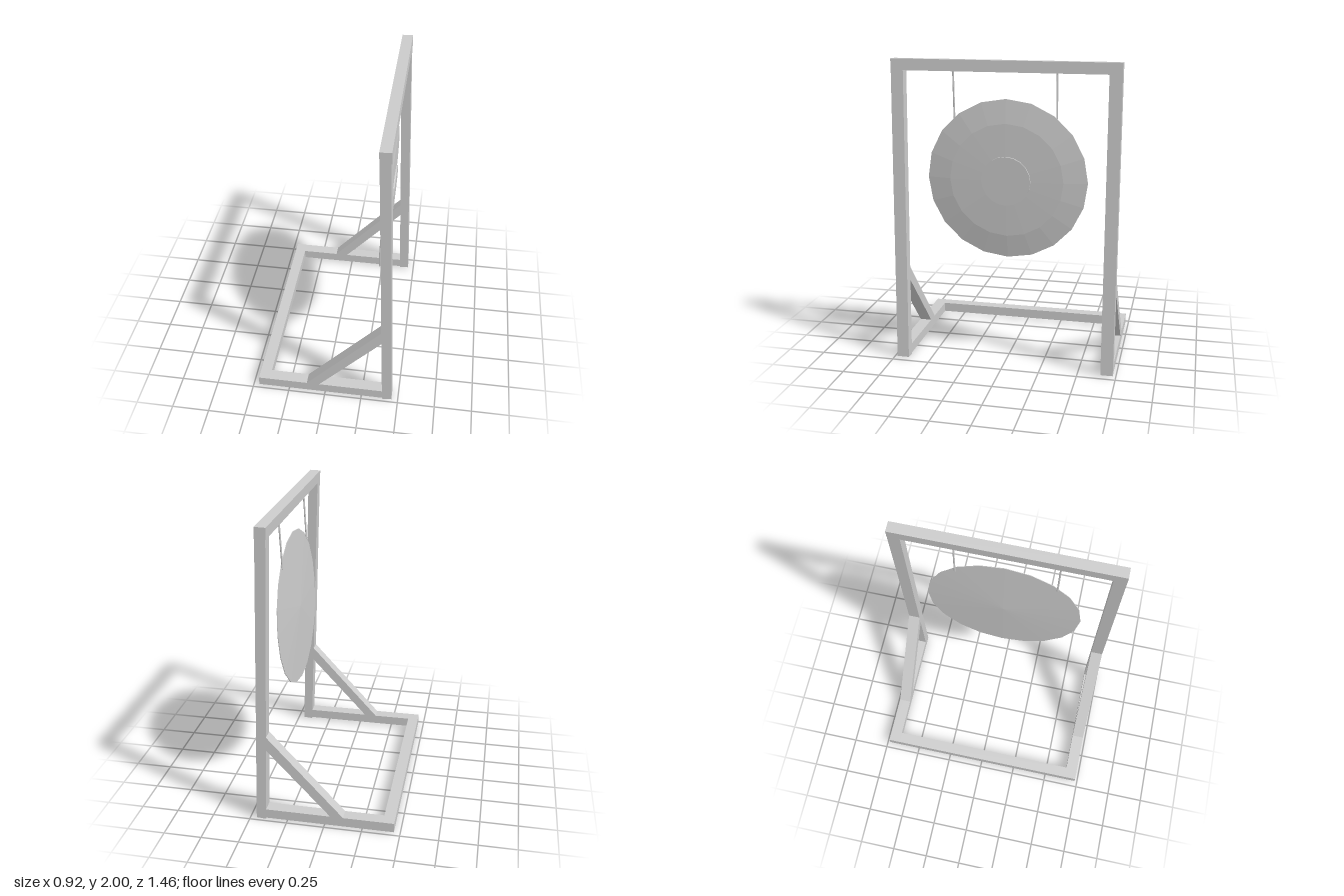
import * as THREE from 'three';

const material = new THREE.MeshStandardMaterial({ color: 0xcccccc, flatShading: true });

const INNER = 0.65, OUTER = 0.73; // z extent of the side timbers

// Timber with a side profile in x/y, running from z0 to z1
function timber(name, corners, z0, z1) {
  const shape = new THREE.Shape(corners.map(([x, y]) => new THREE.Vector2(x, y)));
  const geometry = new THREE.ExtrudeGeometry(shape, { depth: z1 - z0, bevelEnabled: false });
  geometry.translate(0, 0, z0);
  const mesh = new THREE.Mesh(geometry, material);
  mesh.name = name;
  return mesh;
}

export function createModel() {
  const group = new THREE.Group();
  group.name = 'gongStand';

  // Side frames: leaning post, floor rail and diagonal brace
  const post = [[0.393, 0], [0.457, 0.005], [0.388, 1.93], [0.322, 1.93]];
  const rail = [[-0.46, 0.01], [0.4, 0.01], [0.4, 0.075], [-0.46, 0.075]];
  const brace = [[-0.13, 0.07], [-0.045, 0.07], [0.376, 0.53], [0.372, 0.625]];
  for (const [side, z0, z1] of [['left', INNER, OUTER], ['right', -OUTER, -INNER]]) {
    const frame = new THREE.Group();
    frame.name = side + 'SideFrame';
    frame.add(
      timber('post', post, z0, z1),
      timber('floorRail', rail, z0, z1),
      timber('brace', brace, z0, z1)
    );
    group.add(frame);
  }

  // Cross timbers joining the two sides
  group.add(timber('topBeam', [[0.321, 1.925], [0.392, 1.928], [0.389, 2], [0.318, 1.998]], -OUTER, OUTER));
  group.add(timber('floorCrossbar', [[-0.46, 0.01], [-0.385, 0.01], [-0.385, 0.075], [-0.46, 0.075]], -INNER, INNER));

  // Gong: shallow disc with a domed face and a raised centre boss
  const profile = [
    [0, -0.021], [0.522, -0.002], [0.522, 0.002], [0.37, 0.024],
    [0.16, 0.031], [0.16, 0.041], [0, 0.041]
  ].map(([r, h]) => new THREE.Vector2(r, h));
  const gong = new THREE.Mesh(new THREE.LatheGeometry(profile, 20), material);
  gong.name = 'gong';
  gong.rotation.z = -Math.PI / 2 - 0.04;
  gong.position.set(0.326, 1.238, -0.005);
  group.add(gong);

  // Hanging cords from the beam to the gong
  for (const [name, z] of [['leftCord', 0.333], ['rightCord', -0.328]]) {
    const path = new THREE.LineCurve3(
      new THREE.Vector3(0.35, 1.94, z),
      new THREE.Vector3(0.335, 1.61, z)
    );
    const cord = new THREE.Mesh(new THREE.TubeGeometry(path, 1, 0.006, 6), material);
    cord.name = name;
    group.add(cord);
  }

  return group;
}
